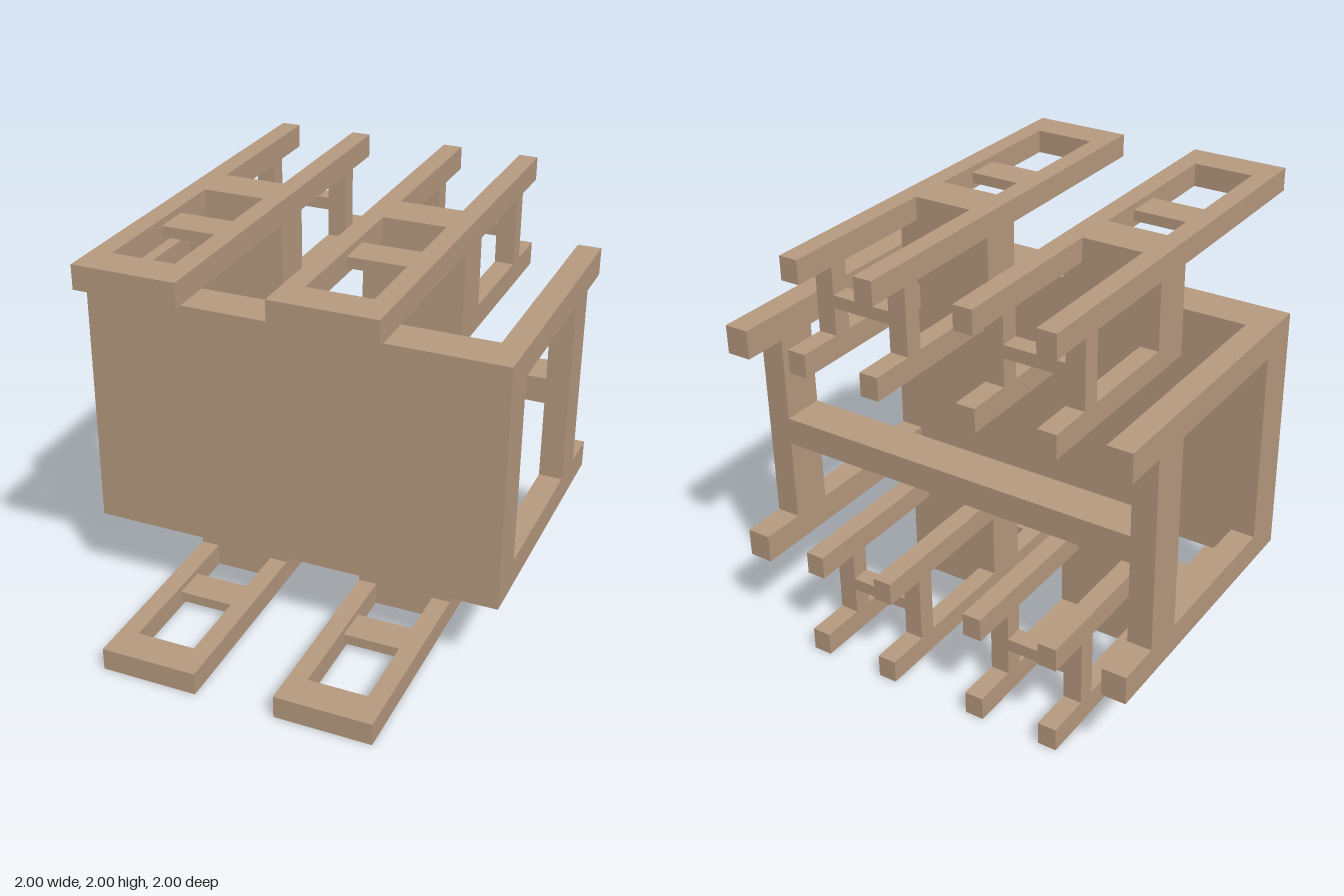
import * as THREE from 'three';

const wood = new THREE.MeshStandardMaterial({ color: 0xb99c82 });
wood.name = 'light brown wood';

// Box given by its min and max on each axis
function box(name, x0, x1, y0, y1, z0, z1) {
  const g = new THREE.BoxGeometry(x1 - x0, y1 - y0, z1 - z0);
  g.translate((x0 + x1) / 2, (y0 + y1) / 2, (z0 + z1) / 2);
  const m = new THREE.Mesh(g, wood);
  m.name = name;
  return m;
}

// Side frame: a (z, y) outline with one opening, extruded between x0 and x1
function sideFrame(name, outline, hole, x0, x1) {
  const toPoints = list => list.map(([z, y]) => new THREE.Vector2(z, y));
  const shape = new THREE.Shape(toPoints(outline));
  shape.holes.push(new THREE.Path(toPoints(hole)));
  const g = new THREE.ExtrudeGeometry(shape, { depth: x1 - x0, bevelEnabled: false });
  g.rotateY(-Math.PI / 2);
  g.translate(x1, 0, 0);
  const m = new THREE.Mesh(g, wood);
  m.name = name;
  return m;
}

// Table lying on its side, legs pointing back
function makeTable() {
  const table = new THREE.Group();
  table.name = 'table';
  table.add(box('tableTop', -0.885, 0.885, 0.405, 1.595, 0.185, 0.39));
  const outline = [
    [0.39, 0.405], [0.39, 1.595], [-1, 1.595], [-1, 1.46], [-0.79, 1.46],
    [-0.79, 0.54], [-1, 0.54], [-1, 0.405],
  ];
  const hole = [[0.185, 0.54], [0.185, 1.46], [-0.59, 1.46], [-0.59, 0.54]];
  table.add(sideFrame('tableLegsRight', outline, hole, -1, -0.885));
  table.add(sideFrame('tableLegsLeft', outline, hole, 0.885, 1));
  table.add(box('tableStretcher', -0.885, 0.885, 0.935, 1.065, -0.79, -0.59));
  return table;
}

// Chair lying on its back, centred on x, legs pointing back
function makeChair() {
  const chair = new THREE.Group();
  chair.name = 'chair';
  const w = 0.234, i = 0.144; // outer and inner half widths
  const outline = [
    [1, 0], [1, 0.11], [0.02, 0.11], [0.02, 0.54], [-1, 0.54], [-1, 0.43],
    [-0.79, 0.43], [-0.79, 0.11], [-1, 0.11], [-1, 0],
  ];
  const hole = [[-0.19, 0.11], [-0.19, 0.43], [-0.7, 0.43], [-0.7, 0.11]];
  chair.add(sideFrame('chairSideRight', outline, hole, -w, -i));
  chair.add(sideFrame('chairSideLeft', outline, hole, i, w));
  chair.add(box('chairSeat', -i, i, 0, 0.54, -0.19, 0.02));
  chair.add(box('backrestTopRail', -i, i, 0, 0.11, 0.83, 1));
  chair.add(box('backrestSlat', -i, i, 0.03, 0.08, 0.25, 0.42));
  chair.add(box('legStretcher', -i, i, 0.24, 0.3, -0.79, -0.7));
  return chair;
}

export function createModel() {
  const model = new THREE.Group();
  model.name = 'diningSet';
  model.add(makeTable());
  // Two chairs below and two turned over above
  for (const x of [-0.433, 0.423]) {
    const lower = makeChair();
    lower.position.x = x;
    const upper = makeChair();
    upper.position.set(x, 2, 0);
    upper.rotation.z = Math.PI;
    model.add(lower, upper);
  }
  return model;
}
